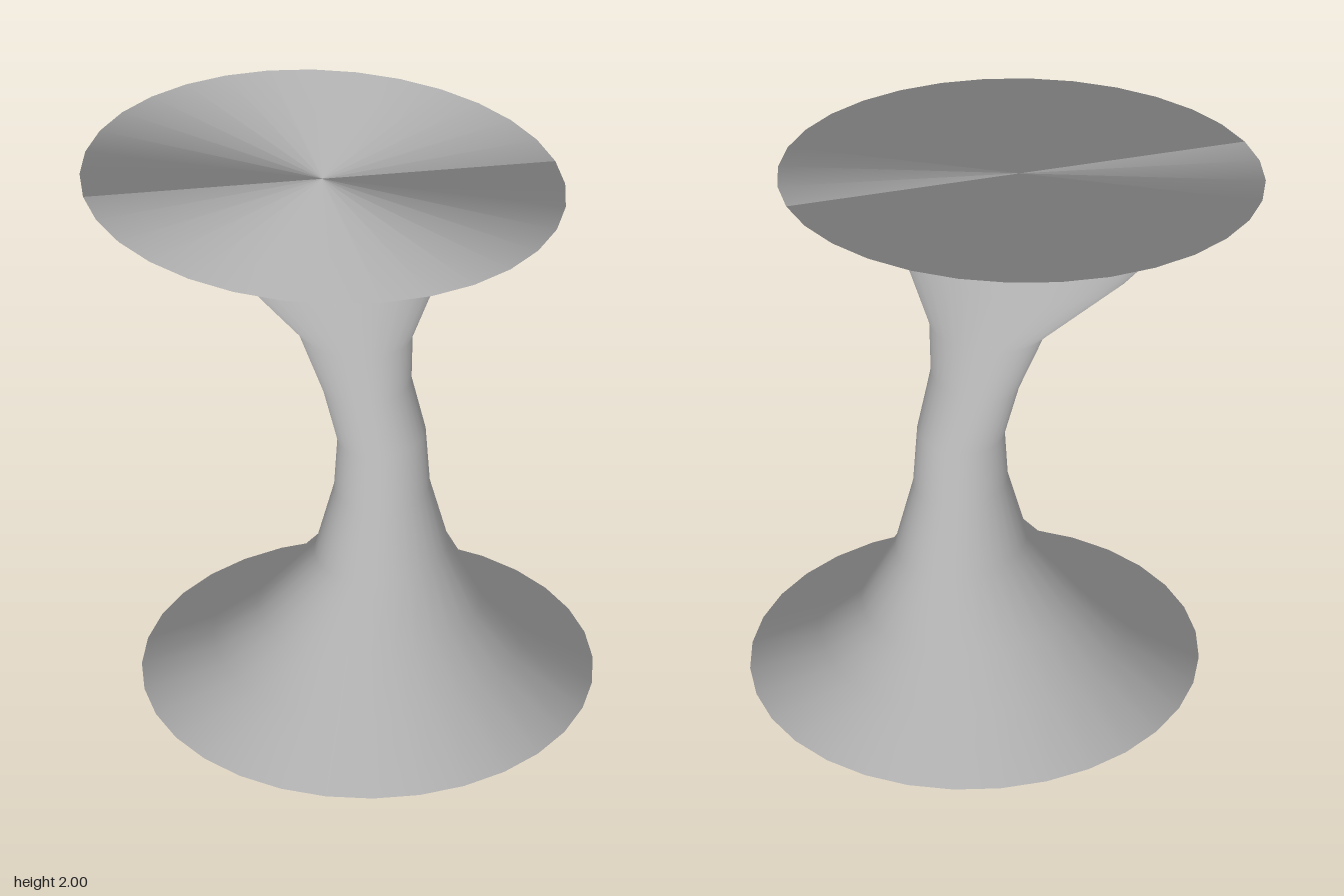
import * as THREE from 'three';

const SIDES = 32;

// Rings from base to top: centre x, y, z; half-widths in x and z; skew; tilt along x and z
const RINGS = [
  [0.02, 0, 0.045, 0.78, 0.755, 0.064, 0, 0],
  [0.025, 0.14, 0.04, 0.535, 0.51, 0.03, 0, 0],
  [0.03, 0.285, 0.045, 0.39, 0.355, 0.015, -0.01, 0.01],
  [0.06, 0.52, 0.07, 0.24, 0.21, 0.002, 0, 0],
  [0.06, 0.78, 0.07, 0.17, 0.155, 0, 0, 0],
  [0.058, 0.99, 0.068, 0.153, 0.143, 0, 0.06, 0.06],
  [0.015, 1.2, 0.043, 0.145, 0.152, 0, 0.1, 0.13],
  [-0.015, 1.41, 0.013, 0.175, 0.197, 0.003, 0, 0],
  [-0.075, 1.685, -0.055, 0.305, 0.375, 0.024, 0, 0],
  [-0.13, 1.845, -0.08, 0.43, 0.48, 0.035, -0.026, -0.048],
  [-0.095, 1.97, -0.05, 0.715, 0.75, 0.06, 0.0174, -0.0414],
];

// One skewed elliptical ring; scale 0 collapses it to its centre to close an end
function addRing([cx, cy, cz, hx, hz, skew, tiltX, tiltZ], scale, positions, normals) {
  const shear = skew / hx;
  const depth = Math.sqrt(hz * hz - shear * shear);
  for (let j = 0; j <= SIDES; j++) {
    const t = (j / SIDES) * Math.PI * 2;
    const c = Math.cos(t), s = Math.sin(t);
    const x = hx * c * scale;
    const z = (shear * c + depth * s) * scale;
    positions.push(cx + x, cy + tiltX * x + tiltZ * z, cz + z);
    // Normals point straight out from the centre line, also across the ends
    const n = new THREE.Vector3(-shear * s + depth * c, 0, hx * s).normalize();
    normals.push(n.x, n.y, n.z);
  }
}

function loftGeometry() {
  const positions = [], normals = [], index = [];
  addRing(RINGS[0], 0, positions, normals);
  RINGS.forEach((ring) => addRing(ring, 1, positions, normals));
  addRing(RINGS[RINGS.length - 1], 0, positions, normals);

  const row = SIDES + 1;
  for (let i = 0; i <= RINGS.length; i++) {
    for (let j = 0; j < SIDES; j++) {
      const a = i * row + j, b = a + row;
      if (i > 0) index.push(a, b, a + 1);
      if (i < RINGS.length) index.push(b, b + 1, a + 1);
    }
  }
  const geometry = new THREE.BufferGeometry();
  geometry.setAttribute('position', new THREE.Float32BufferAttribute(positions, 3));
  geometry.setAttribute('normal', new THREE.Float32BufferAttribute(normals, 3));
  geometry.setIndex(index);
  return geometry;
}

export function createModel() {
  const group = new THREE.Group();
  group.name = 'flaredPedestal';

  // Bent column flaring into a wide foot and a tilted top
  const material = new THREE.MeshStandardMaterial({ color: 0xcccccc });
  const column = new THREE.Mesh(loftGeometry(), material);
  column.name = 'flaredColumn';
  group.add(column);
  return group;
}
